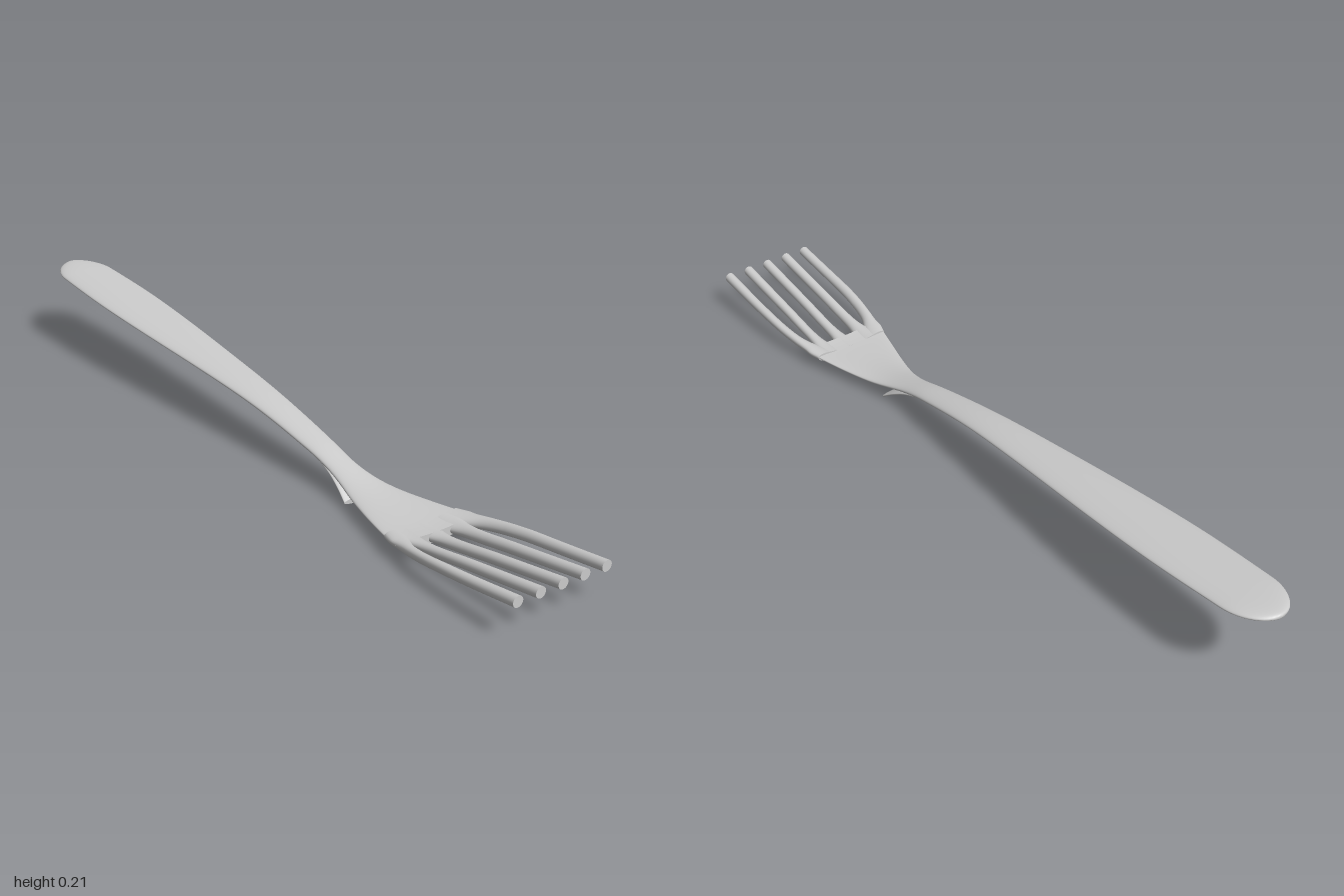
import * as THREE from 'three';

// smooth function through [x, value] points
function curve(pts) {
  const slope = i => {
    const a = pts[Math.max(i - 1, 0)], b = pts[Math.min(i + 1, pts.length - 1)];
    return (b[1] - a[1]) / (b[0] - a[0]);
  };
  return x => {
    let i = 0;
    while (i < pts.length - 2 && x > pts[i + 1][0]) i++;
    const [x0, a] = pts[i], [x1, b] = pts[i + 1], h = x1 - x0;
    const t = Math.min(Math.max((x - x0) / h, 0), 1), t2 = t * t, t3 = t2 * t;
    return (2 * t3 - 3 * t2 + 1) * a + (t3 - 2 * t2 + t) * h * slope(i)
      + (3 * t2 - 2 * t3) * b + (t3 - t2) * h * slope(i + 1);
  };
}

// skin of elliptical sections along x; section(x) gives y, z, w, h and dish (upward curl of the sides)
function loft(xs, section, sides) {
  const pos = [], index = [], ring = sides + 1;
  const addRing = x => {
    const s = section(x);
    for (let j = 0; j <= sides; j++) {
      const a = (j / sides) * Math.PI * 2;
      const z = s.z + s.w * Math.cos(a);
      pos.push(x, s.y + s.h * Math.sin(a) + s.dish * z * z, z);
    }
    return s;
  };
  xs.forEach(addRing);
  for (let i = 0; i < xs.length - 1; i++) {
    for (let j = 0; j < sides; j++) {
      const a = i * ring + j, b = a + ring;
      index.push(a, b, a + 1, b, b + 1, a + 1);
    }
  }
  // flat end caps with their own vertices
  for (const [x, flip] of [[xs[0], false], [xs[xs.length - 1], true]]) {
    const start = pos.length / 3, s = addRing(x), c = pos.length / 3;
    pos.push(x, s.y + s.dish * s.z * s.z, s.z);
    for (let j = start; j < start + sides; j++) {
      index.push(c, flip ? j + 1 : j, flip ? j : j + 1);
    }
  }
  const g = new THREE.BufferGeometry();
  g.setAttribute('position', new THREE.Float32BufferAttribute(pos, 3));
  g.setIndex(index);
  g.computeVertexNormals();
  // share the normal across the seam of each ring
  const n = g.attributes.normal;
  for (let i = 0; i < xs.length; i++) {
    const a = i * ring, b = a + sides;
    const v = new THREE.Vector3().fromBufferAttribute(n, a)
      .add(new THREE.Vector3().fromBufferAttribute(n, b)).normalize();
    n.setXYZ(a, v.x, v.y, v.z);
    n.setXYZ(b, v.x, v.y, v.z);
  }
  return g;
}

const range = (a, b, n) => Array.from({ length: n + 1 }, (_, i) => a + (b - a) * i / n);

export function createModel() {
  const group = new THREE.Group();
  const material = new THREE.MeshStandardMaterial({ color: 0xcccccc, side: THREE.DoubleSide });
  const add = (name, geometry) => {
    const mesh = new THREE.Mesh(geometry, material);
    mesh.name = name;
    group.add(mesh);
  };

  // shared side profile, plan width and dish
  const height = curve([[-1, 0.203], [-0.6, 0.174], [-0.2, 0.14], [0, 0.117], [0.2, 0.08], [0.3, 0.054],
    [0.36, 0.04], [0.42, 0.031], [0.5, 0.025], [0.6, 0.023], [0.68, 0.031], [0.8, 0.053], [1, 0.087]]);
  const width = curve([[-1, 0.07], [-0.9, 0.075], [-0.7, 0.079], [-0.5, 0.073], [-0.2, 0.056], [0, 0.045],
    [0.15, 0.039], [0.27, 0.036], [0.33, 0.043], [0.4, 0.06], [0.5, 0.087], [0.6, 0.112], [0.65, 0.122]]);
  const dish = curve([[0.3, 0], [0.36, 0.2], [0.46, 1], [0.6, 1.15], [0.68, 1], [0.85, 0.35], [1, 0]]);

  // handle and head, with a rounded butt
  const butt = range(0, 1, 14).map(t => -0.9 - 0.1 * Math.cos(t * Math.PI / 2));
  add('handleAndHead', loft([...butt, ...range(-0.87, 0.62, 75)], x => {
    const t = Math.max(0, (-0.9 - x) / 0.1);
    const round = Math.sqrt(Math.max(1 - t * t, 0.0004));
    return { y: height(x), z: 0, w: width(x) * round, h: 0.0125 * Math.sqrt(round), dish: dish(x) };
  }, 40));

  // five tines, flared where they leave the head
  const flare = curve([[0.57, 0.03], [0.6, 0.028], [0.62, 0.022], [0.65, 0.016], [0.7, 0.0135], [1, 0.0135]]);
  const outerPath = curve([[0.57, 0.076], [0.62, 0.094], [0.66, 0.107], [0.72, 0.1165], [0.8, 0.121], [1, 0.122]]);
  for (let i = -2; i <= 2; i++) {
    const outer = Math.abs(i) === 2;
    add('tine' + (i + 3), loft([...range(0.57, 0.72, 20), ...range(0.74, 1, 13)], x => ({
      y: height(x), z: outer ? Math.sign(i) * outerPath(x) : i * 0.061,
      w: flare(x), h: 0.0133, dish: dish(x),
    }), 24));
  }

  // small lip under the neck
  const lipY = curve([[0.2, 0.076], [0.27, 0.053], [0.32, 0.029], [0.355, 0.0075]]);
  const lipW = curve([[0.2, 0.03], [0.28, 0.035], [0.32, 0.041], [0.355, 0.048]]);
  add('neckLip', loft(range(0.2, 0.355, 16), x => (
    { y: lipY(x), z: 0, w: lipW(x), h: 0.0075, dish: 0 }), 32));

  return group;
}
